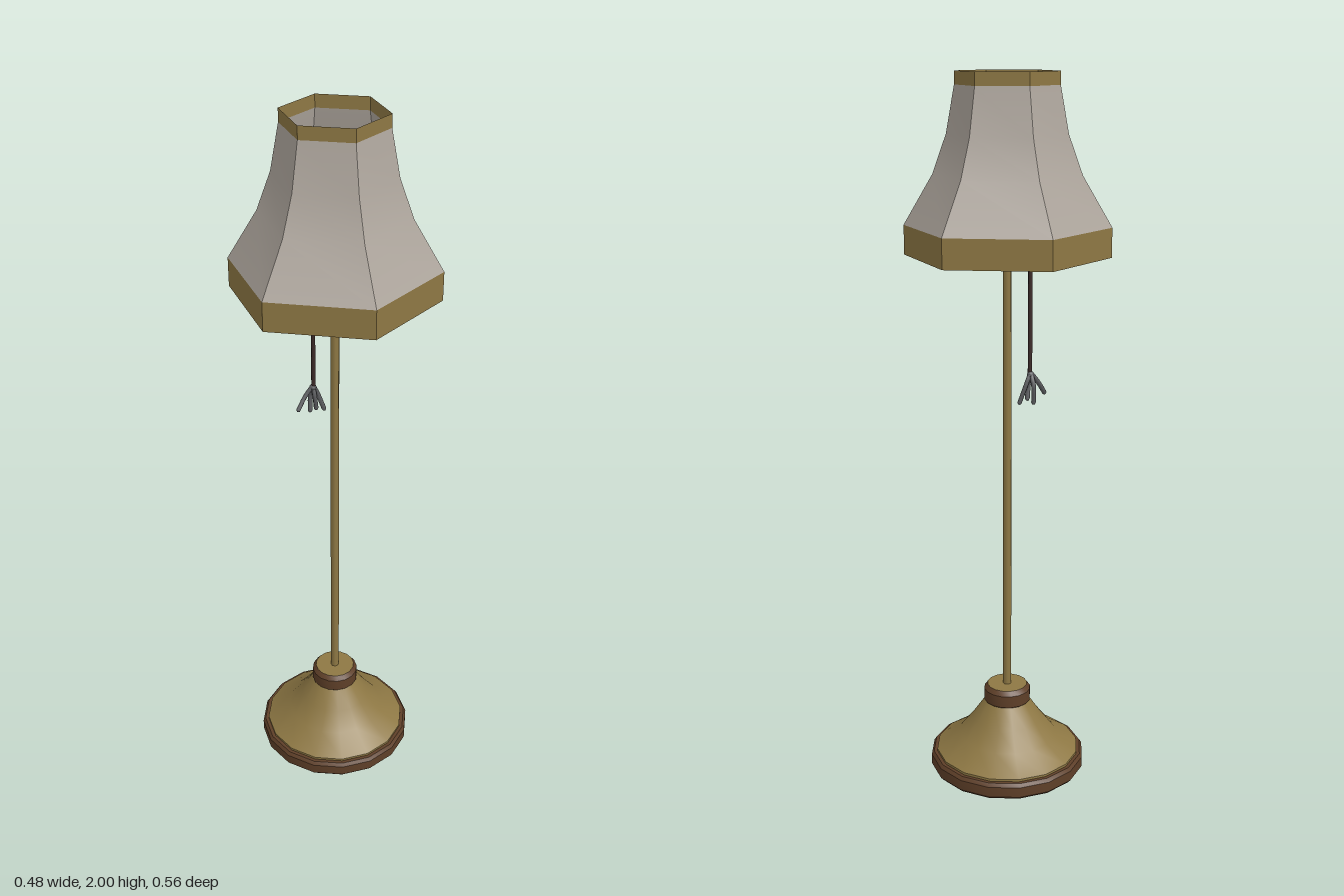
import * as THREE from 'three';
import { toCreasedNormals } from 'three/addons/utils/BufferGeometryUtils.js';

const paint = (color, side = THREE.FrontSide) => new THREE.MeshStandardMaterial({ color, side });

export function createModel() {
  const lamp = new THREE.Group();
  lamp.name = 'floorLamp';
  const gold = paint(0x8e7844);
  const goldTrim = paint(0x8e7844, THREE.DoubleSide);
  const wood = paint(0x5e3f28);
  const fabric = paint(0xaea69d, THREE.DoubleSide);
  const cordBrown = paint(0x3c2a28);
  const tasselGrey = paint(0x5c5d60);

  const add = (name, geometry, material) => {
    const mesh = new THREE.Mesh(geometry, material);
    mesh.name = name;
    lamp.add(mesh);
    return mesh;
  };
  // Turned part from [radius, height] pairs, listed bottom to top
  const turned = (name, profile, sides, material, crease = 0.6) => {
    const points = profile.map(([r, y]) => new THREE.Vector2(r, y));
    return add(name, toCreasedNormals(new THREE.LatheGeometry(points, sides), crease), material);
  };

  // Base: wooden plinth, flared metal body, wooden collar with metal cap
  turned('plinth', [[0, 0], [0.22, 0], [0.227, 0.008], [0.227, 0.038], [0.22, 0.048], [0, 0.048]], 16, wood);
  turned('baseBody', [[0.21, 0.046], [0.21, 0.055], [0.143, 0.1], [0.102, 0.152], [0.064, 0.207]], 16, gold);
  turned('collar', [[0.062, 0.202], [0.068, 0.208], [0.068, 0.243], [0.058, 0.256]], 16, wood);
  turned('collarCap', [[0.058, 0.256], [0, 0.256]], 16, gold);

  // Pole, open at its hidden upper end
  const pole = add('pole', new THREE.CylinderGeometry(0.012, 0.012, 1.5, 8, 1, true), gold);
  pole.position.y = 1.0;

  // Six-sided shade with a trim band at each end
  turned('shadeBottomTrim', [[0.28, 1.52], [0.28, 1.6]], 6, goldTrim);
  turned('shadeFabric', [[0.28, 1.6], [0.2, 1.735], [0.162, 1.84], [0.139, 1.965]], 6, fabric);
  turned('shadeTopTrim', [[0.139, 1.965], [0.139, 2]], 6, goldTrim);

  // Pull cord
  const cord = add('pullCord', new THREE.CylinderGeometry(0.006, 0.006, 0.54, 6, 1, true), cordBrown);
  cord.position.set(-0.082, 1.48, -0.008);

  // Tassel: small knot and splayed strands
  const knot = add('tasselKnot', new THREE.SphereGeometry(0.01, 8, 6), tasselGrey);
  knot.position.set(-0.084, 1.207, -0.008);
  const strands = [
    [[-0.084, 1.212, -0.008], [-0.081, 1.185, -0.022], [-0.068, 1.132, -0.036]],
    [[-0.084, 1.212, -0.008], [-0.094, 1.185, 0.012], [-0.098, 1.15, 0.038]],
    [[-0.084, 1.212, -0.008], [-0.097, 1.18, -0.012], [-0.094, 1.13, -0.007]],
    [[-0.084, 1.212, -0.008], [-0.076, 1.18, -0.006], [-0.078, 1.14, -0.014]],
  ];
  for (const strand of strands) {
    const path = new THREE.CatmullRomCurve3(strand.map((p) => new THREE.Vector3(...p)));
    add('tasselStrand', new THREE.TubeGeometry(path, 6, 0.0065, 6), tasselGrey);
    // Closed lower tip
    const tip = add('strandTip', new THREE.SphereGeometry(0.0065, 6, 4), tasselGrey);
    tip.position.set(...strand[2]);
  }

  return lamp;
}
